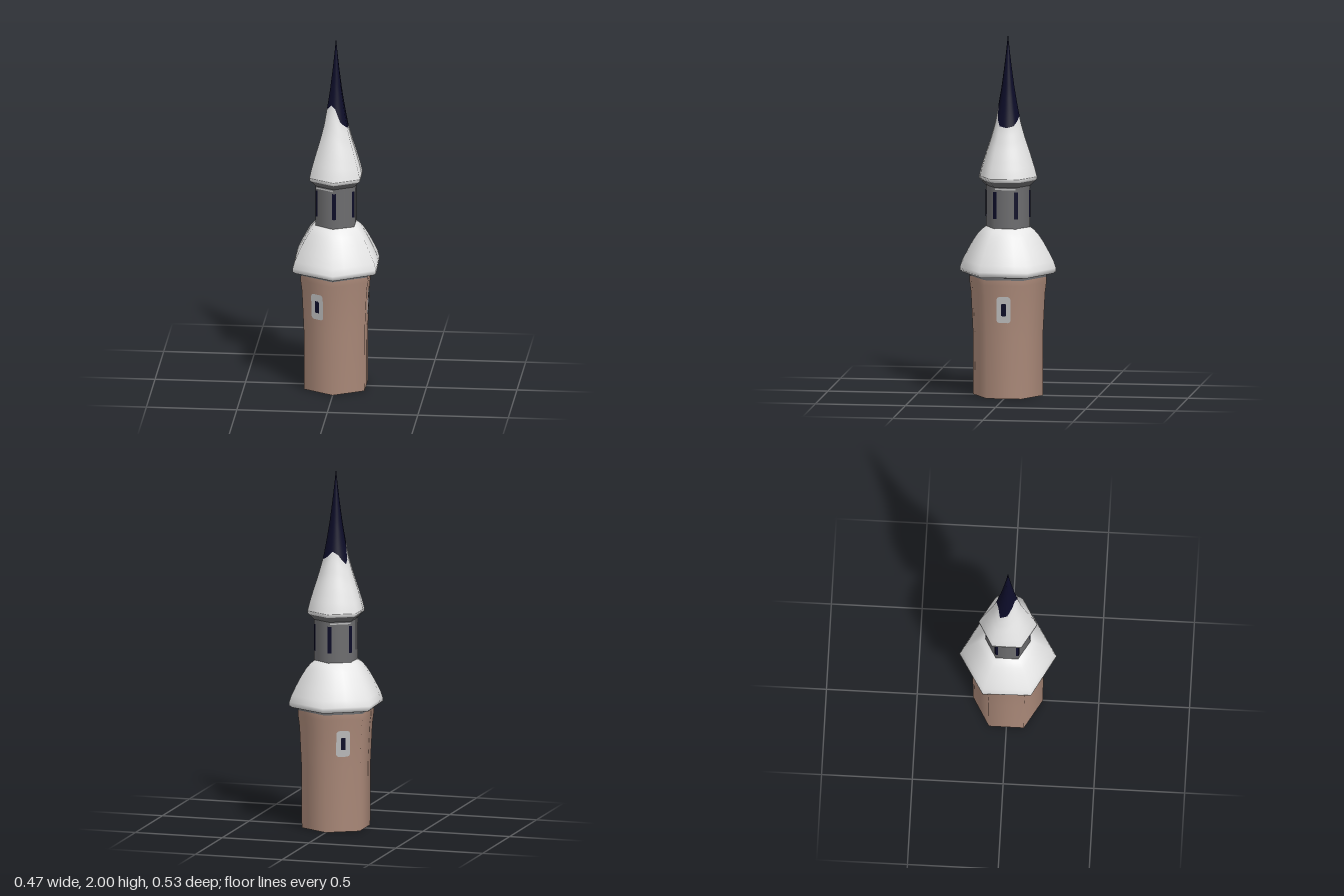
import * as THREE from 'three';

const V = (pts) => pts.map(([r, y]) => new THREE.Vector2(r, y));
const SIXTH = Math.PI / 3;
const FACE = Math.cos(SIXTH / 2); // face distance / corner distance of a hexagon

const mat = (name, color, double = true) => {
  const m = new THREE.MeshStandardMaterial({ color, side: double ? THREE.DoubleSide : THREE.FrontSide });
  m.name = name;
  return m;
};

// Radius of a unit hexagon with corners on +z and -z, at angle phi from +z
const hexFactor = (phi) => {
  const a = ((phi % SIXTH) + SIXTH) % SIXTH;
  return FACE / Math.cos(a - SIXTH / 2);
};

// Smooth lathe pressed into a hexagonal section
function hexLathe(points, start = 0, length = Math.PI * 2, segments = 24) {
  const g = new THREE.LatheGeometry(V(points), segments, start, length);
  const p = g.attributes.position;
  for (let i = 0; i < p.count; i++) {
    const f = hexFactor(Math.atan2(p.getX(i), p.getZ(i)) + 1e-7);
    p.setXYZ(i, p.getX(i) * f, p.getY(i), p.getZ(i) * f);
  }
  return g;
}

// Spire profile and the wavy snow line around it
const SPIRE = [[0.161, 1.215], [0.15, 1.26], [0.125, 1.34], [0.098, 1.42], [0.072, 1.51],
  [0.053, 1.61], [0.036, 1.71], [0.021, 1.82], [0.009, 1.92], [0.0005, 2]];
const radiusAt = (y) => {
  for (let i = 1; i < SPIRE.length; i++) {
    const [r0, y0] = SPIRE[i - 1], [r1, y1] = SPIRE[i];
    if (y <= y1) return r0 + (r1 - r0) * (y - y0) / (y1 - y0);
  }
  return SPIRE[SPIRE.length - 1][0];
};
// Heights every 30 degrees from +x towards +z
const SNOW_LINE = [1.49, 1.5, 1.53, 1.61, 1.625, 1.6, 1.5, 1.48, 1.53, 1.55, 1.52, 1.5];
const snowLine = (x, z) => {
  const t = ((Math.atan2(z, x) / (Math.PI * 2) + 1) % 1) * 12;
  const i = Math.floor(t) % 12, f = t - Math.floor(t);
  return SNOW_LINE[i] * (1 - f) + SNOW_LINE[(i + 1) % 12] * f;
};

// Spire section between the snow line and a fixed height
function spireSection(yFixed, above) {
  const rows = 16, mid = 1.54;
  const lo = above ? mid : yFixed, hi = above ? yFixed : mid;
  const pts = [];
  for (let i = 0; i <= rows; i++) {
    const y = lo + (hi - lo) * i / rows;
    pts.push([radiusAt(y), y]);
  }
  const g = hexLathe(pts, 0, Math.PI * 2, 48);
  const p = g.attributes.position;
  for (let i = 0; i < p.count; i++) {
    const x = p.getX(i), z = p.getZ(i), t = (p.getY(i) - lo) / (hi - lo);
    const line = snowLine(x, z);
    const y = above ? line + (yFixed - line) * t : yFixed + (line - yFixed) * t;
    const s = radiusAt(y) / radiusAt(p.getY(i));
    p.setXYZ(i, x * s, y, z * s);
  }
  return g;
}

// Flat upright panel with rounded corners
function panel(w, h, r) {
  const s = new THREE.Shape(), a = w / 2 - r, b = h / 2 - r;
  s.absarc(a, b, r, 0, Math.PI / 2);
  s.absarc(-a, b, r, Math.PI / 2, Math.PI);
  s.absarc(-a, -b, r, Math.PI, Math.PI * 1.5);
  s.absarc(a, -b, r, Math.PI * 1.5, Math.PI * 2);
  return new THREE.ShapeGeometry(s, 4);
}

export function createModel() {
  const brick = mat('brick', 0xa88777);
  const snow = mat('snow', 0xe6e6e6);
  const stone = mat('grey stone', 0x6c6c6e);
  const slate = mat('dark slate', 0x0c0c28);
  const trim = mat('window trim', 0xbababa);

  const root = new THREE.Group();
  root.name = 'tower';
  const add = (name, geo, m, parent = root) => {
    const mesh = new THREE.Mesh(geo, m);
    mesh.name = name;
    parent.add(mesh);
    return mesh;
  };

  // Lower shaft, open underneath
  add('shaft', hexLathe([[0.193, 0], [0.195, 0.35], [0.206, 0.57], [0.214, 0.63], [0.213, 0.66]]), brick);
  add('shaftCollar', hexLathe([[0.213, 0.66], [0.213, 0.68]]), stone);

  // Lower roof, turned slightly on the shaft
  const roof = new THREE.Group();
  roof.name = 'lowerRoof';
  roof.rotation.y = 0.025;
  root.add(roof);
  add('lowerEaveUnderside', hexLathe([[0.252, 0.678], [0.2, 0.672]].reverse()), stone, roof)
    .geometry.scale(1, 1, 1);
  add('lowerRoofSnow', hexLathe([[0.25, 0.678], [0.266, 0.69], [0.266, 0.708], [0.254, 0.745],
    [0.226, 0.8], [0.198, 0.85], [0.17, 0.892], [0.145, 0.92], [0.115, 0.942]]), snow, roof);

  // Narrow upper storey with dark slits at its corners
  add('neck', hexLathe([[0.123, 0.925], [0.123, 1.165]]), stone);
  for (let i = 0; i < 6; i++) {
    add('neckSlit', hexLathe([[0.125, 0.99], [0.125, 1.14]], i * SIXTH - 0.1, 0.2, 4), slate);
  }

  // Upper roof: flared underside, snow skirt and bare tip
  add('upperEaveUnderside', hexLathe([[0.123, 1.165], [0.152, 1.195]]), stone);
  add('upperEaveSnow', hexLathe([[0.152, 1.195], [0.161, 1.203], [0.161, 1.215]]), snow);
  add('upperRoofSnow', spireSection(1.215, false), snow);
  add('spireTip', spireSection(2, true), slate);

  // Windows and pale ledges on every other face
  for (const phi of [Math.PI / 2, Math.PI * 7 / 6, -Math.PI / 6]) {
    const win = new THREE.Group();
    win.name = 'window';
    win.rotation.set(0.045, phi, 0, 'YXZ');
    win.position.set(Math.sin(phi) * 0.1785, 0.495, Math.cos(phi) * 0.1785);
    root.add(win);
    add('windowFrame', panel(0.078, 0.146, 0.018), trim, win);
    add('windowOpening', panel(0.026, 0.068, 0.004), slate, win).position.z = 0.002;

    const ledge = add('neckLedge', panel(0.116, 0.008, 0.002), trim);
    ledge.rotation.y = phi;
    ledge.position.set(Math.sin(phi) * 0.1095, 1.155, Math.cos(phi) * 0.1095);
  }
  return root;
}
